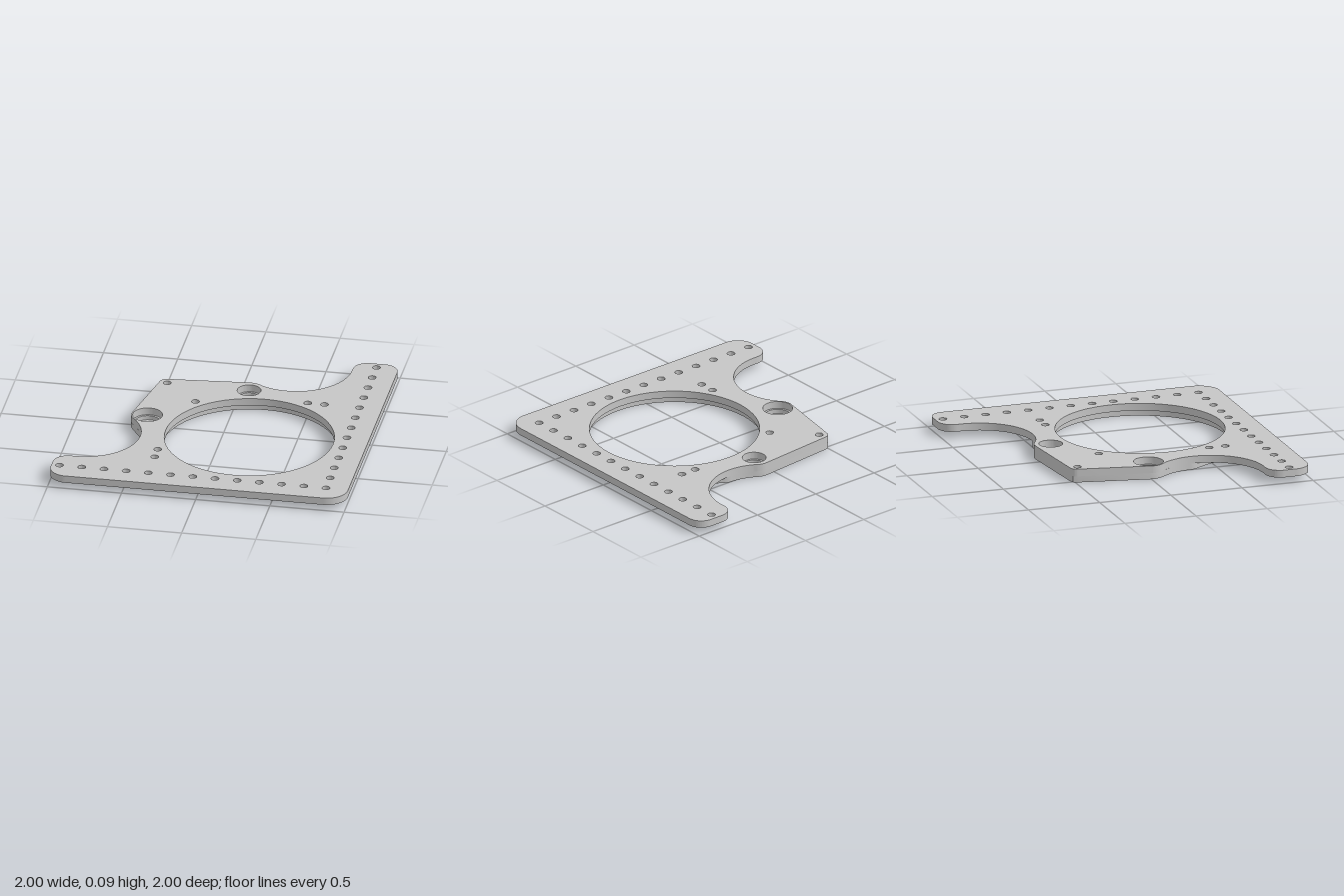
import * as THREE from 'three';
import { toCreasedNormals } from 'three/addons/utils/BufferGeometryUtils.js';

const TOP = 0.092, MID = 0.042, FLOOR = 0.012;
const CENTER = 0.213;

// Extrudes a plan drawn in x and z between two heights
function slab(shape, y0, y1, material, name) {
  let geo = new THREE.ExtrudeGeometry(shape, { depth: y1 - y0, bevelEnabled: false, curveSegments: 32 });
  geo.rotateX(Math.PI / 2).translate(0, y1, 0);
  geo = toCreasedNormals(geo, 0.5);
  const mesh = new THREE.Mesh(geo, material);
  mesh.name = name;
  return mesh;
}

function circle(x, z, r) {
  return new THREE.Path().absarc(x, z, r, 0, Math.PI * 2, true);
}

const swap = ([x, z]) => [z, x];

// Closed outline with softened corners
function softPath(points, k = 0.35) {
  const path = new THREE.Path();
  const n = points.length;
  points.forEach((p, i) => {
    const a = points[(i + n - 1) % n], b = points[(i + 1) % n];
    const inX = p[0] + (a[0] - p[0]) * k, inZ = p[1] + (a[1] - p[1]) * k;
    if (i === 0) path.moveTo(inX, inZ); else path.lineTo(inX, inZ);
    path.quadraticCurveTo(p[0], p[1], p[0] + (b[0] - p[0]) * k, p[1] + (b[1] - p[1]) * k);
  });
  path.closePath();
  return path;
}

// Upper plate: two arms, two concave scoops and a back corner
function plateOutline() {
  const s = new THREE.Shape();
  s.moveTo(0.8, -1);
  s.lineTo(0.9, -1);
  s.absarc(0.9, -0.9, 0.1, -Math.PI / 2, 0, false);
  s.lineTo(1, 0.86);
  s.absarc(0.86, 0.86, 0.14, 0, Math.PI / 2, false);
  s.lineTo(-0.88, 1);
  s.absarc(-0.88, 0.88, 0.12, Math.PI / 2, Math.PI, false);
  s.lineTo(-1, 0.8);
  s.absarc(-0.9, 0.8, 0.1, Math.PI, Math.PI * 1.5, false);
  s.absarc(-0.87, 0.33, 0.37, Math.PI / 2, -0.7, true);
  s.quadraticCurveTo(-0.63, 0.05, -0.615, -0.01);
  s.lineTo(-0.523, -0.48);
  s.quadraticCurveTo(-0.515, -0.52, -0.475, -0.523);
  s.lineTo(0.07, -0.573);
  s.quadraticCurveTo(0.11, -0.576, 0.145, -0.552);
  s.absarc(0.33, -0.87, 0.37, Math.PI / 2 + 0.5, 0, true);
  s.lineTo(0.7, -0.9);
  s.absarc(0.8, -0.9, 0.1, Math.PI, Math.PI * 1.5, false);
  return s;
}

// Lower plate: scalloped around the hole rows, flush at the back corner
function lowerOutline() {
  const side = [];
  for (let i = 0; i <= 84; i++) {
    const z = 0.85 - i * 0.0125;
    side.push([0.886 + 0.014 * Math.cos((z - 0.85) / 0.15 * Math.PI * 2), z]);
  }
  for (let i = 1; i <= 8; i++) {
    const a = -i / 8 * 2;
    side.push([0.85 + 0.05 * Math.cos(a), -0.2 + 0.05 * Math.sin(a)]);
  }
  const web = new THREE.SplineCurve([
    [0.8, -0.24], [0.735, -0.275], [0.69, -0.345], [0.645, -0.39], [0.59, -0.402],
    [0.5, -0.405], [0.42, -0.45], [0.36, -0.487],
  ].map(p => new THREE.Vector2(...p)));
  web.getPoints(40).forEach(p => side.push([p.x, p.y]));
  // The scoop, shared with the upper plate
  for (let i = 0; i <= 10; i++) {
    const a = Math.PI / 2 + i * 0.05;
    side.push([0.33 + 0.37 * Math.cos(a), -0.87 + 0.37 * Math.sin(a)]);
  }

  const corner = [];
  for (let i = 1; i < 8; i++) {
    const a = i / 8 * Math.PI / 2;
    corner.push([0.85 + 0.05 * Math.sin(a), 0.85 + 0.05 * Math.cos(a)]);
  }
  const back = [
    [0.11, -0.569], [0.07, -0.573], [-0.475, -0.523], [-0.507, -0.513], [-0.523, -0.48],
    [-0.615, -0.01], [-0.617, 0.035], [-0.6, 0.07],
  ];
  const mirrored = side.map(swap).reverse();
  const points = [...corner, ...side, ...back, ...mirrored].reverse();
  return new THREE.Shape(points.map(p => new THREE.Vector2(...p)));
}

export function createModel() {
  const group = new THREE.Group();
  group.name = 'mountingPlate';
  const grey = new THREE.MeshStandardMaterial({ color: 0xc6c6c6 });
  grey.name = 'plain grey';

  // Screw holes
  const holes = [[0.85, 0.85], [-0.468, -0.468], [-0.235, -0.235]];
  for (let i = 0; i < 12; i++) {
    const t = -0.946 + i * 0.1497;
    holes.push([0.85, t], [t, 0.85]);
  }
  for (const t of [0.5, 0.613]) holes.push([t, -0.35], [-0.35, t]);

  // Round recesses: x, z, radius
  const recesses = [[0.084, -0.46, 0.079], [-0.51, 0.016, 0.099]];

  // Upper plate
  const upper = plateOutline();
  upper.holes.push(circle(CENTER, CENTER, 0.564));
  for (const [x, z] of holes) upper.holes.push(circle(x, z, 0.026));
  for (const [x, z, r] of recesses) upper.holes.push(circle(x, z, r));
  group.add(slab(upper, MID, TOP, grey, 'upperPlate'));

  // Lower plate with a wider central opening and lightening pockets
  const lower = lowerOutline();
  lower.holes.push(circle(CENTER, CENTER, 0.588));
  for (const [x, z] of holes) {
    const onArm = Math.min(x, z) < -0.25 && Math.max(x, z) > 0.8;
    if (!onArm) lower.holes.push(circle(x, z, 0.026));
  }
  for (const [x, z, r] of recesses) lower.holes.push(circle(x, z, r - 0.015));
  // Each pocket runs clockwise in x and z
  const pockets = [
    [[-0.03, -0.39], [-0.06, -0.47], [-0.28, -0.5], [-0.36, -0.48], [-0.34, -0.42], [-0.25, -0.34], [-0.13, -0.345]],
    [[-0.43, -0.1], [-0.52, -0.14], [-0.49, -0.37], [-0.455, -0.41], [-0.4, -0.345], [-0.35, -0.22], [-0.365, -0.125]],
    [[0.775, 0.53], [0.8, 0.6], [0.775, 0.68], [0.785, 0.785], [0.68, 0.775], [0.6, 0.8], [0.53, 0.775], [0.665, 0.665]],
  ];
  for (const p of pockets) {
    const path = softPath(p);
    const clockwise = THREE.ShapeUtils.isClockWise(path.getPoints());
    lower.holes.push(clockwise ? path : softPath(p.reverse()));
  }
  group.add(slab(lower, 0, MID, grey, 'lowerPlate'));

  // Closed floors of the recesses
  for (const [x, z, r] of recesses) {
    const geo = new THREE.CylinderGeometry(r - 0.015, r - 0.015, FLOOR, 48);
    const floor = new THREE.Mesh(geo, grey);
    floor.position.set(x, FLOOR / 2, z);
    floor.name = 'recessFloor';
    group.add(floor);
  }
  return group;
}
